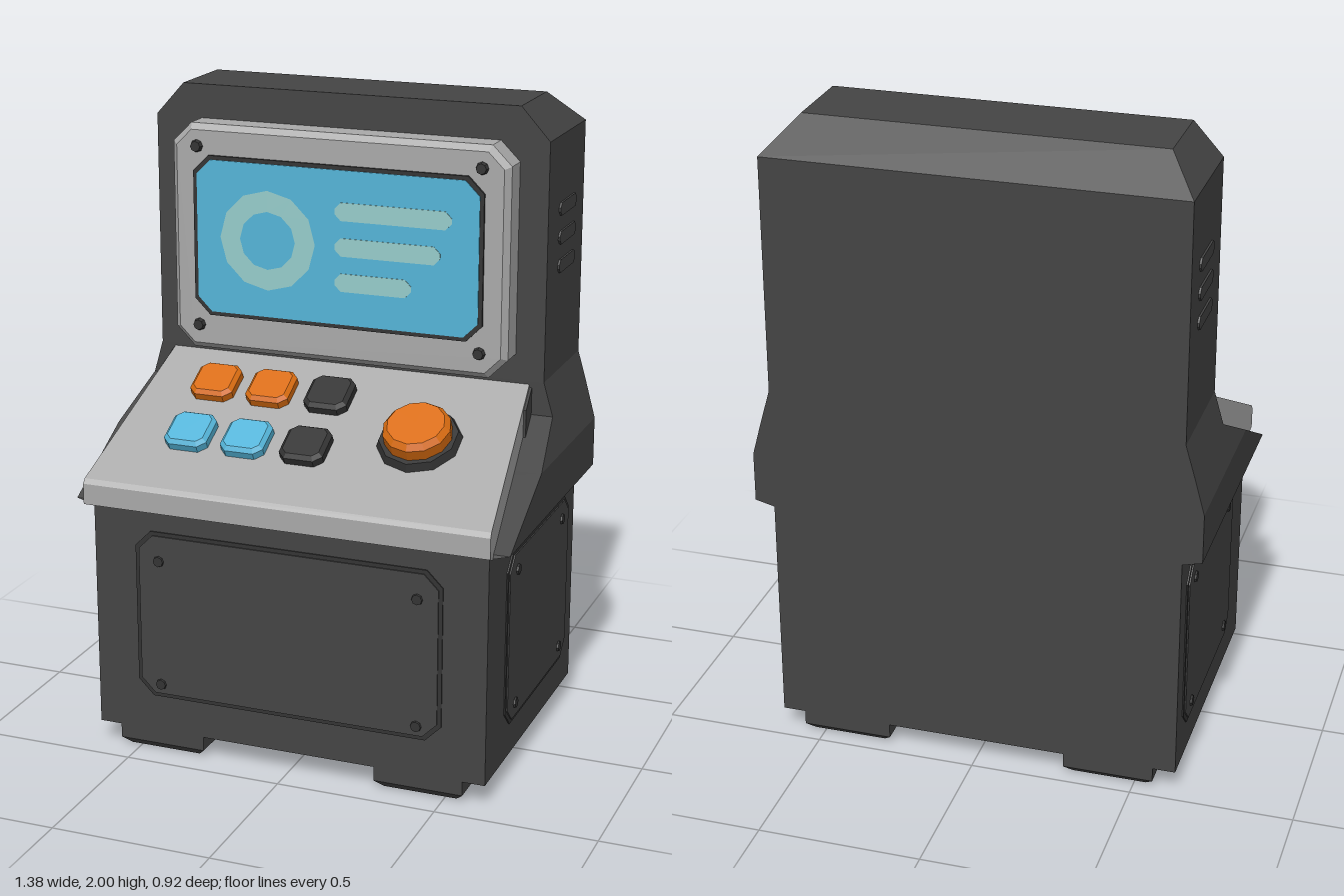
import * as THREE from 'three';

const mat = (name, color) => Object.assign(new THREE.MeshStandardMaterial({ color }), { name });
const body = mat('charcoal body', 0x444444);
const dark = mat('dark trim', 0x333333);
const grey = mat('light grey', 0xa9a9a9);
const orange = mat('orange', 0xd96c10);
const blue = mat('blue', 0x54b4d8);
const pale = mat('pale screen graphic', 0x96cccb);

function add(parent, name, geometry, material, x = 0, y = 0, z = 0) {
  const m = new THREE.Mesh(geometry, material);
  m.name = name;
  m.position.set(x, y, z);
  parent.add(m);
  return m;
}

// Stack of rectangles [y, x0, x1, z0, z1], closed at both ends, with flat faces
function loft(rings) {
  const pos = [];
  const r = rings.map(([y, x0, x1, z0, z1]) => [[x1, y, z1], [x1, y, z0], [x0, y, z0], [x0, y, z1]]);
  const quad = (a, b, c, d) => pos.push(...a, ...b, ...c, ...a, ...c, ...d);
  for (let i = 0; i < r.length - 1; i++)
    for (let j = 0; j < 4; j++) {
      const k = (j + 1) % 4;
      quad(r[i][j], r[i][k], r[i + 1][k], r[i + 1][j]);
    }
  quad(...r[r.length - 1]);
  quad(...[...r[0]].reverse());
  const g = new THREE.BufferGeometry();
  g.setAttribute('position', new THREE.Float32BufferAttribute(pos, 3));
  g.computeVertexNormals();
  return g;
}

// Plate with cut corners and a bevelled front edge, its front at z = t
function plate(w, h, cut, t, bevel = 0) {
  const a = w / 2, b = h / 2, c = cut;
  const pts = [[a, -b + c], [a, b - c], [a - c, b], [-a + c, b], [-a, b - c], [-a, -b + c], [-a + c, -b], [a - c, -b]];
  const shape = new THREE.Shape(pts.map(p => new THREE.Vector2(...p)));
  return new THREE.ExtrudeGeometry(shape, {
    depth: t - bevel, bevelEnabled: bevel > 0, bevelSize: bevel,
    bevelThickness: bevel, bevelOffset: -bevel, bevelSegments: 1,
  });
}

// Flat-sided disc lying on the xy plane, facing +z
function disc(r0, r1, h, sides) {
  const g = new THREE.CylinderGeometry(r1, r0, h, sides).toNonIndexed();
  g.computeVertexNormals();
  return g.rotateX(Math.PI / 2).translate(0, 0, h / 2);
}

function bolts(parent, dx, dy, cy, z = 0) {
  for (const x of [-dx, dx])
    for (const y of [-dy, dy]) add(parent, 'bolt', disc(0.02, 0.016, 0.014, 8), dark, x, cy + y, z);
}

function accessPanel(parent, w, h, cy) {
  add(parent, 'panelRim', plate(w, h, 0.05, 0.004), dark, 0, cy);
  add(parent, 'accessPanel', plate(w - 0.025, h - 0.025, 0.045, 0.008), body, 0, cy);
}

export function createModel() {
  const model = new THREE.Group();
  model.name = 'arcadeConsole';

  // Cabinet: base, flared shoulder cut by the desk slope, upright and hipped top
  const section = (y, x, front, back = -0.46) => [y, -x, x, back, front];
  add(model, 'cabinet', loft([
    section(0.07, 0.63, 0.42), section(0.785, 0.63, 0.42), section(0.8, 0.69, 0.415),
    section(0.955, 0.69, 0.12), section(1.066, 0.66, -0.085), section(1.17, 0.63, -0.085),
    section(1.9, 0.63, -0.085), section(2, 0.54, -0.085, -0.34),
  ]), body);

  // Feet with chamfered soles
  for (const x of [-0.42, 0.42])
    for (const z of [-0.35, 0.31])
      add(model, 'foot', loft([
        [0, -0.115, 0.115, -0.085, 0.085], [0.025, -0.14, 0.14, -0.11, 0.11], [0.075, -0.14, 0.14, -0.11, 0.11],
      ]), body, x, 0, z);

  // Sloped control desk, extruded across and narrowed towards the screen
  const profile = pts => new THREE.Shape(pts.map(p => new THREE.Vector2(...p)));
  const across = (pts, halfWidth) => {
    const g = new THREE.ExtrudeGeometry(profile(pts), { depth: 2, bevelEnabled: false });
    g.rotateY(-Math.PI / 2).translate(1, 0, 0);
    const p = g.attributes.position;
    for (let i = 0; i < p.count; i++) p.setX(i, p.getX(i) * halfWidth(p.getZ(i)));
    g.computeVertexNormals();
    return g;
  };
  const deskWidth = z => 0.585 + 0.06 * (z + 0.085) / 0.545;
  add(model, 'controlDesk', across(
    [[0.42, 0.785], [0.46, 0.8], [0.46, 0.865], [0.45, 0.88], [-0.085, 1.16], [-0.085, 1.06]], deskWidth), grey);
  add(model, 'deskBracket', across(
    [[0, 1.0], [0, 1.105], [-0.085, 1.15], [-0.085, 1.05]], z => deskWidth(z) + 0.008), body);

  // Buttons and dome, laid out on the slope
  const controls = new THREE.Group();
  controls.name = 'controls';
  controls.position.set(0, 0.987, 0.245);
  controls.rotation.x = -Math.atan2(0.535, 0.28);
  model.add(controls);
  [[blue, blue, dark], [orange, orange, dark]].forEach((row, j) =>
    row.forEach((m, i) =>
      add(controls, 'button', plate(0.14, 0.14, 0.024, 0.035, 0.012), m, [-0.38, -0.195, -0.003][i], j * 0.22)));
  add(controls, 'domeBase', disc(0.13, 0.12, 0.025, 10), dark, 0.327, 0.085);
  add(controls, 'domeSide', disc(0.104, 0.104, 0.035, 12), orange, 0.327, 0.085, 0.025);
  add(controls, 'domeTop', disc(0.104, 0.088, 0.018, 12), orange, 0.327, 0.085, 0.06);

  // Screen with bezel and graphics
  const screen = new THREE.Group();
  screen.name = 'screen';
  screen.position.set(0, 1.543, -0.085);
  model.add(screen);
  add(screen, 'bezel', plate(1.08, 0.705, 0.06, 0.095, 0.018), grey);
  add(screen, 'screenFrame', plate(0.93, 0.5, 0.05, 0.008), dark, 0, 0.01, 0.095);
  add(screen, 'screenGlass', plate(0.905, 0.475, 0.045, 0.003), blue, 0, 0.01, 0.103);
  bolts(screen, 0.455, 0.28, 0.005, 0.095);
  add(screen, 'ringGraphic', new THREE.RingGeometry(0.09, 0.155, 12), pale, -0.22, 0.012, 0.108);
  [0.37, 0.335, 0.245].forEach((w, i) =>
    add(screen, 'barGraphic', plate(w, 0.056, 0.02, 0.002), pale, w / 2 - 0.002, 0.122 - i * 0.109, 0.106));

  // Front access panel
  const front = new THREE.Group();
  front.name = 'frontPanel';
  front.position.z = 0.42;
  model.add(front);
  accessPanel(front, 0.985, 0.54, 0.457);
  bolts(front, 0.415, 0.202, 0.432);

  // Side access panels and vents
  for (const s of [-1, 1]) {
    const side = new THREE.Group();
    side.name = s > 0 ? 'leftSide' : 'rightSide';
    side.position.set(s * 0.63, 0, -0.07);
    side.rotation.y = s * Math.PI / 2;
    model.add(side);
    accessPanel(side, 0.635, 0.555, 0.452);
    bolts(side, 0.23, 0.216, 0.447);
    for (const y of [1.5, 1.588, 1.676])
      add(side, 'vent', plate(0.17, 0.04, 0.014, 0.006), body, s * 0.21, y);
  }
  return model;
}
